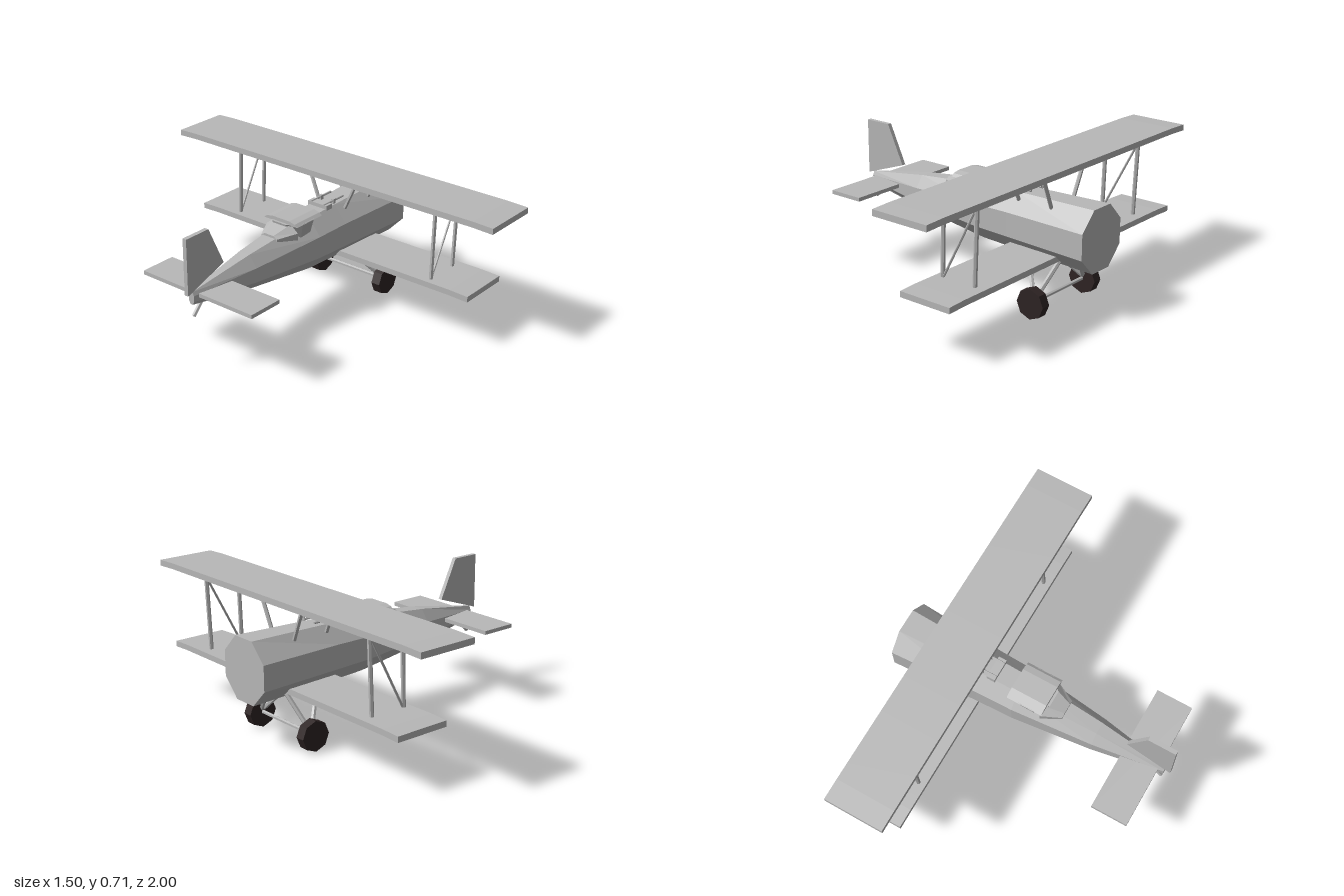
import * as THREE from 'three';

const grey = new THREE.MeshStandardMaterial({ color: 0xb8b8b8, flatShading: true });
grey.name = 'bodyGrey';
const rubber = new THREE.MeshStandardMaterial({ color: 0x2e2424, flatShading: true });
rubber.name = 'tyreDark';

export function createModel() {
  const model = new THREE.Group();
  model.name = 'biplane';

  const add = (name, geometry, material = grey) => {
    const mesh = new THREE.Mesh(geometry, material);
    mesh.name = name;
    model.add(mesh);
    return mesh;
  };

  // Box given by its limits on each axis
  const box = (name, x0, x1, y0, y1, z0, z1) => {
    const mesh = add(name, new THREE.BoxGeometry(x1 - x0, y1 - y0, z1 - z0));
    mesh.position.set((x0 + x1) / 2, (y0 + y1) / 2, (z0 + z1) / 2);
    return mesh;
  };

  // Round bar between two points
  const bar = (name, a, b, radius, sides = 6) => {
    const from = new THREE.Vector3(...a), to = new THREE.Vector3(...b);
    const dir = to.clone().sub(from);
    const mesh = add(name, new THREE.CylinderGeometry(radius, radius, dir.length(), sides));
    mesh.position.copy(from).lerp(to, 0.5);
    mesh.quaternion.setFromUnitVectors(new THREE.Vector3(0, 1, 0), dir.normalize());
    return mesh;
  };

  // Closed skin over rings of [x, y, z] points, ordered tail to nose
  const loft = (rings) => {
    const n = rings[0].length, pos = rings.flat(2), index = [];
    for (let i = 0; i < rings.length - 1; i++) {
      for (let j = 0; j < n; j++) {
        const k = (j + 1) % n;
        const a = i * n + j, b = i * n + k, c = a + n, d = b + n;
        index.push(a, c, b, b, c, d);
      }
    }
    const last = (rings.length - 1) * n;
    for (let j = 1; j < n - 1; j++) {
      index.push(0, j, j + 1);
      index.push(last, last + j + 1, last + j);
    }
    const g = new THREE.BufferGeometry();
    g.setAttribute('position', new THREE.Float32BufferAttribute(pos, 3));
    g.setIndex(index);
    const flat = g.toNonIndexed();
    flat.computeVertexNormals();
    return flat;
  };

  // Octagonal fuselage: x, top, upper edge, lower edge, bottom, half width
  const stations = [
    [-0.72, 0.43, 0.41, 0.38, 0.363, 0.016],
    [-0.35, 0.49, 0.43, 0.355, 0.307, 0.075],
    [0.08, 0.537, 0.453, 0.337, 0.258, 0.12],
    [0.28, 0.546, 0.457, 0.333, 0.251, 0.126],
    [0.75, 0.556, 0.462, 0.332, 0.239, 0.154],
  ];
  add('fuselage', loft(stations.map(([x, t, u, l, b, w]) => {
    const f = w * 0.42;
    return [[x, t, -f], [x, t, f], [x, u, w], [x, l, w], [x, b, f], [x, b, -f], [x, l, -w], [x, u, -w]];
  }).map((ring) => ring.reverse())));

  // Wings, with tips that droop a little
  const wing = (name, x0, x1, y0, y1, half, tip) => {
    const g = new THREE.BoxGeometry(x1 - x0, y1 - y0, half * 2, 1, 1, 20);
    const p = g.attributes.position;
    for (let i = 0; i < p.count; i++) {
      if (Math.abs(p.getZ(i)) > half - 0.01) p.setY(i, p.getY(i) - 0.004);
      else p.setZ(i, THREE.MathUtils.clamp(p.getZ(i), -tip, tip));
    }
    g.computeVertexNormals();
    add(name, g).position.set((x0 + x1) / 2, (y0 + y1) / 2, 0);
  };
  wing('upperWing', 0.25, 0.563, 0.675, 0.706, 1, 0.89);
  wing('lowerWing', 0.28, 0.57, 0.264, 0.294, 0.87, 0.77);

  // Struts, landing legs and wheels on each side
  for (const s of [1, -1]) {
    bar('rearWingStrut', [0.32, 0.285, s * 0.63], [0.33, 0.68, s * 0.63], 0.011);
    bar('frontWingStrut', [0.51, 0.285, s * 0.63], [0.525, 0.68, s * 0.63], 0.011);
    bar('diagonalBrace', [0.325, 0.295, s * 0.63], [0.52, 0.67, s * 0.63], 0.006);
    for (const x of [0.325, 0.52]) {
      bar('cabaneStrut', [x, 0.52, s * 0.085], [x + 0.005, 0.68, s * 0.155], 0.01);
    }
    bar('rearLandingLeg', [0.375, 0.265, s * 0.07], [0.515, 0.085, s * 0.2], 0.012);
    bar('frontLandingLeg', [0.565, 0.265, s * 0.07], [0.515, 0.085, s * 0.2], 0.012);

    const wheel = add('wheel', new THREE.CylinderGeometry(0.078, 0.078, 0.05, 8), rubber);
    wheel.rotation.x = Math.PI / 2;
    wheel.position.set(0.515, 0.078, s * 0.21);
  }
  bar('axle', [0.515, 0.08, -0.2], [0.515, 0.08, 0.2], 0.01);

  // Cockpit tub, octagonal in plan and narrower at the foot
  const tub = add('cockpitTub', new THREE.CylinderGeometry(0.112, 0.092, 0.08, 8));
  tub.rotation.y = Math.PI / 8;
  tub.position.set(0.008, 0.52, 0);

  // Shallow arched cockpit cover
  const arch = (x) => [
    [x, 0.557, -0.106], [x, 0.57, -0.09], [x, 0.578, -0.055], [x, 0.578, 0.055],
    [x, 0.57, 0.09], [x, 0.557, 0.106],
  ].reverse();
  add('cockpitCover', loft([arch(-0.083), arch(0.11)]));

  // Headrest fairing tapering towards the tail
  const fairing = (x, b, t, w) => [
    [x, b, -w], [x, (b + t) / 2, -w], [x, t, -w * 0.55],
    [x, t, w * 0.55], [x, (b + t) / 2, w], [x, b, w],
  ].reverse();
  add('headrestFairing', loft([fairing(-0.17, 0.495, 0.522, 0.05), fairing(-0.07, 0.485, 0.557, 0.1)]));

  // Low deck plate with two slim barrels ahead of the cockpit
  box('deckPlate', 0.205, 0.25, 0.535, 0.562, -0.06, 0.06);
  for (const z of [-0.04, 0.04]) {
    bar('barrel', [0.205, 0.562, z], [0.365, 0.562, z], 0.006);
    box('barrelMount', 0.275, 0.295, 0.54, 0.571, z - 0.008, z + 0.008);
  }

  // Tailplane, fin and tail skid
  box('tailplane', -0.69, -0.497, 0.395, 0.415, -0.345, 0.345);
  const fin = new THREE.Shape([
    [-0.752, 0.42], [-0.508, 0.505], [-0.605, 0.71], [-0.752, 0.71],
  ].map(([x, y]) => new THREE.Vector2(x, y)));
  add('tailFin', new THREE.ExtrudeGeometry(fin, { depth: 0.022, bevelEnabled: false })).position.z = -0.011;
  bar('tailSkid', [-0.71, 0.297, 0], [-0.64, 0.372, 0], 0.01);

  return model;
}
